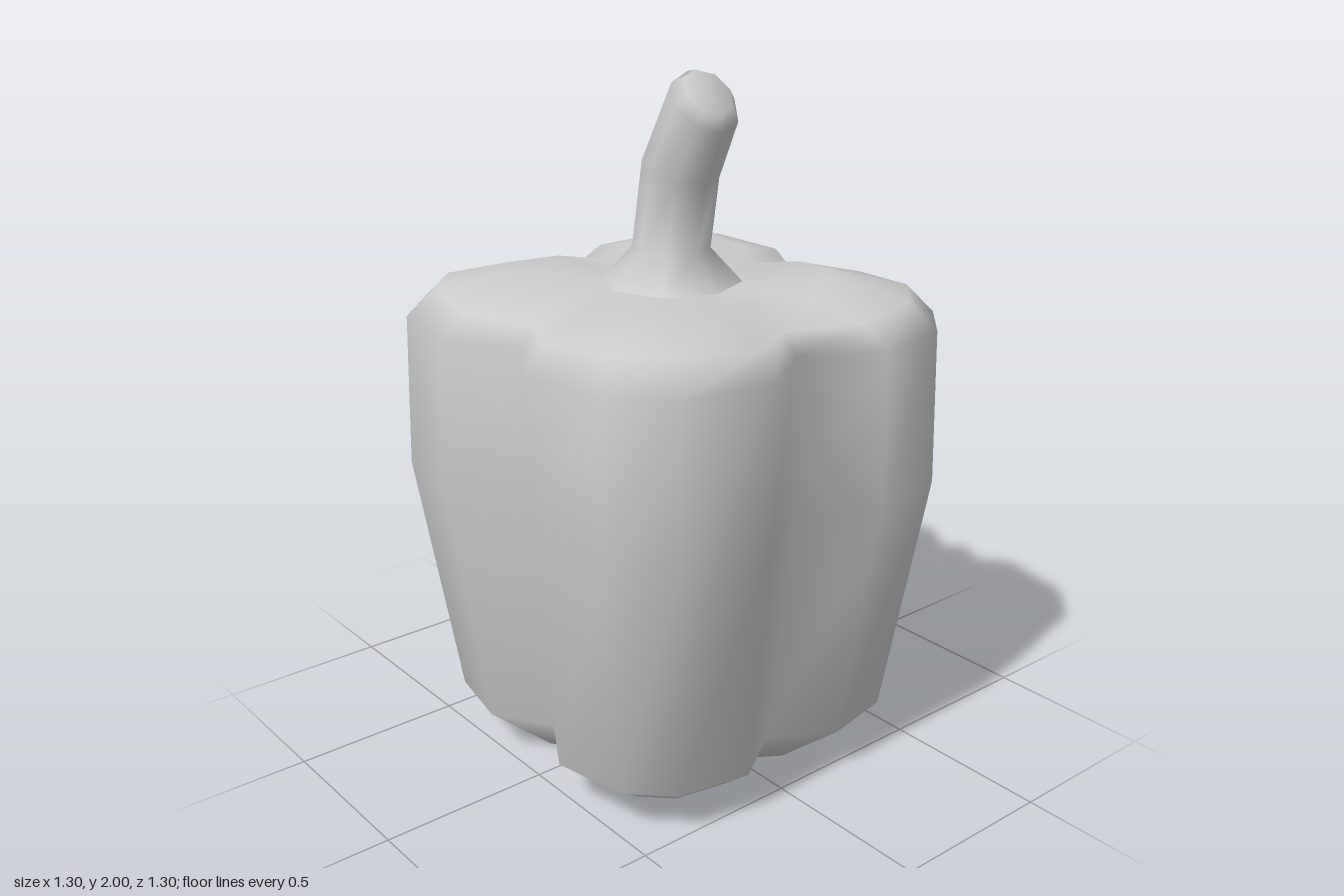
import * as THREE from 'three';

const material = new THREE.MeshStandardMaterial({ color: 0xcccccc });

// Smooth skin over rings of equal point count, listed from bottom to top.
// A ring given as a single repeated point closes the end.
function loft(name, rings) {
  const n = rings[0].length;
  const positions = [];
  const index = [];
  const starts = rings.map((ring) => {
    const start = positions.length / 3;
    const points = ring.every((p) => p.equals(ring[0])) ? [ring[0]] : ring;
    points.forEach((p) => positions.push(p.x, p.y, p.z));
    return { start, count: points.length };
  });
  for (let i = 0; i < rings.length - 1; i++) {
    const at = (k, j) => starts[k].start + (j % starts[k].count);
    for (let j = 0; j < n; j++) {
      const k = (j + 1) % n;
      const a = at(i, j), b = at(i, k), c = at(i + 1, j), d = at(i + 1, k);
      if (a !== b) index.push(a, c, b);
      if (c !== d) index.push(b, c, d);
    }
  }
  const geometry = new THREE.BufferGeometry();
  geometry.setAttribute('position', new THREE.Float32BufferAttribute(positions, 3));
  geometry.setIndex(index);
  geometry.computeVertexNormals();
  const mesh = new THREE.Mesh(geometry, material);
  mesh.name = name;
  return mesh;
}

// Four-lobed body: one quarter of the outline, turned four times
function makeBody() {
  // x, z, and how far the point sinks on the shoulders
  const quarter = [
    [0.52, 0, 1],
    [0.65, 0.205, 0.5],
    [0.6, 0.46, 0],
    [0.46, 0.6, 0],
    [0.205, 0.65, 0.5],
  ];
  const outline = [];
  for (let q = 0; q < 4; q++) {
    const c = Math.round(Math.cos(q * Math.PI / 2));
    const s = Math.round(Math.sin(q * Math.PI / 2));
    quarter.forEach(([x, z, sink]) => outline.push([x * c - z * s, x * s + z * c, sink]));
  }
  // height, scale, valley sink
  const levels = [
    [0, 0, 0],
    [0, 0.58, 0],
    [0.14, 0.84, 0],
    [0.87, 1, 0],
    [1.31, 0.985, 0],
    [1.39, 0.88, 0.03],
    [1.44, 0.58, 0.03],
    [1.38, 0, 0],
  ];
  return loft('body', levels.map(([y, scale, drop]) =>
    outline.map(([x, z, sink]) => new THREE.Vector3(x * scale, y - drop * sink, z * scale))));
}

// Eight-sided stem flaring at the base and bending forward
function makeStem() {
  // height, z, radius, forward tilt
  const sections = [
    [1.41, 0, 0.2, 0],
    [1.505, 0, 0.11, 0],
    [1.728, 0.04, 0.108, 0.3],
    [1.918, 0.14, 0.103, 0.8],
    [1.945, 0.155, 0.075, 0.8],
    [1.945, 0.155, 0, 0.8],
  ];
  return loft('stem', sections.map(([y, z, r, tilt]) =>
    Array.from({ length: 8 }, (_, j) => {
      const a = j * Math.PI / 4;
      const reach = r * Math.sin(a);
      return new THREE.Vector3(
        r * Math.cos(a), y - reach * Math.sin(tilt), z + reach * Math.cos(tilt));
    })));
}

export function createModel() {
  const group = new THREE.Group();
  group.name = 'bellPepper';
  group.add(makeBody(), makeStem());
  return group;
}
